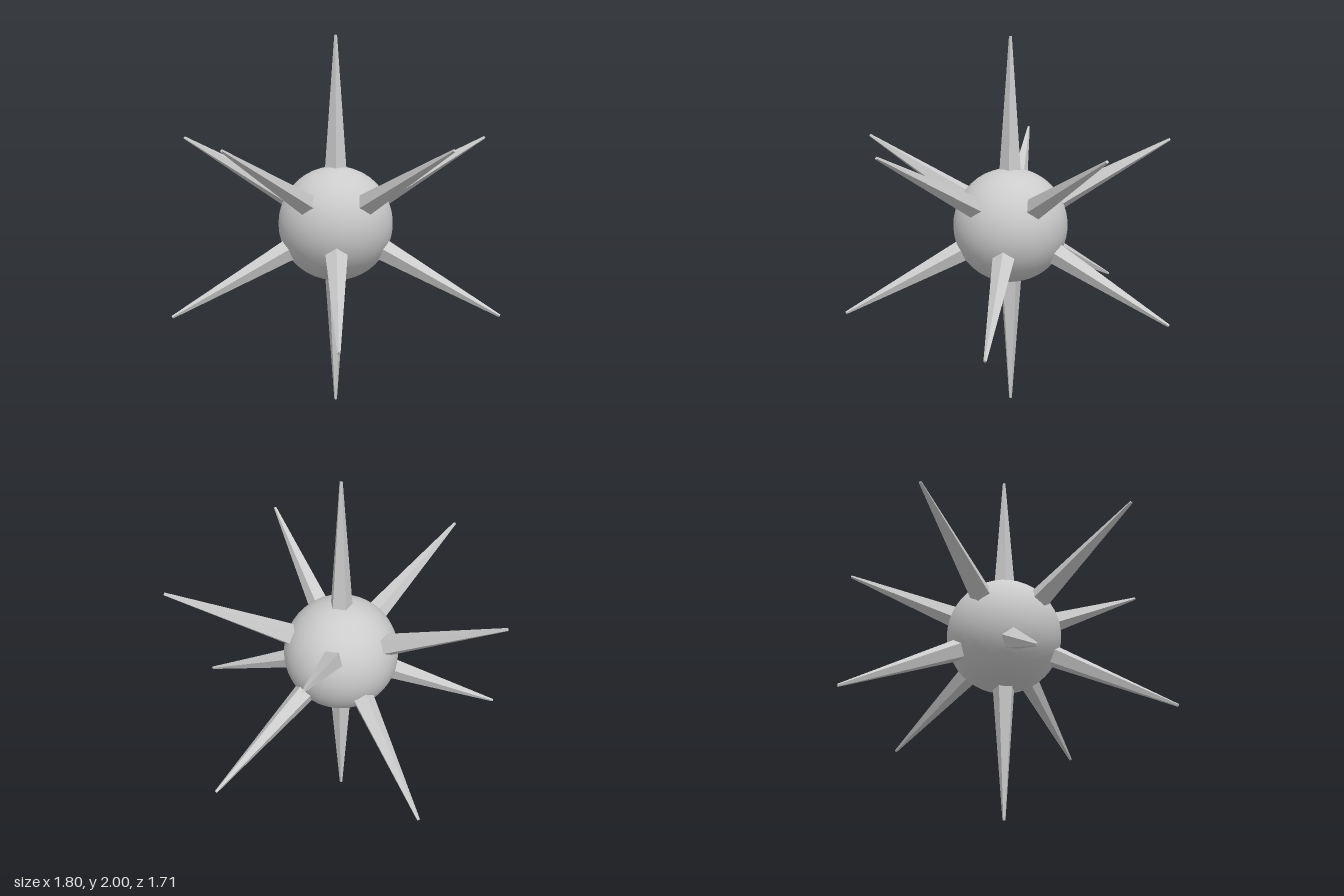
import * as THREE from 'three';

const CORE_RADIUS = 0.31;
const SPIKE_START = 0.29; // slightly sunk into the core
const SPIKE_END = 1.0;

export function createModel() {
  const group = new THREE.Group();
  group.name = 'spikedBall';
  const smooth = new THREE.MeshStandardMaterial({ color: 0xcccccc });
  const faceted = new THREE.MeshStandardMaterial({ color: 0xcccccc, flatShading: true });

  // Round core
  const core = new THREE.Mesh(new THREE.IcosahedronGeometry(CORE_RADIUS, 7), smooth);
  core.name = 'core';
  core.position.y = 1;
  group.add(core);

  // Five-sided tapered spike with a small blunt tip
  const spikeGeometry = new THREE.CylinderGeometry(0.008, 0.061, SPIKE_END - SPIKE_START, 5);
  spikeGeometry.translate(0, (SPIKE_START + SPIKE_END) / 2, 0);

  // Points a spike along dir, with one of its ridges turned towards ridge
  function addSpike(name, dir, ridge) {
    const y = dir.clone().normalize();
    const z = ridge.clone().addScaledVector(y, -ridge.dot(y)).normalize();
    const x = new THREE.Vector3().crossVectors(y, z);
    const spike = new THREE.Mesh(spikeGeometry, faceted);
    spike.name = name;
    spike.quaternion.setFromRotationMatrix(new THREE.Matrix4().makeBasis(x, y, z));
    spike.position.y = 1;
    group.add(spike);
  }

  // Opposite pairs: one vertical, five around in an icosahedral layout
  for (const s of [1, -1]) {
    const half = s > 0 ? 'upper' : 'lower';
    const up = new THREE.Vector3(0, s, 0);
    addSpike(half + 'PoleSpike', up, new THREE.Vector3(-s, 0, 0));
    for (let i = 0; i < 5; i++) {
      const a = (i * Math.PI * 2) / 5;
      const dir = new THREE.Vector3(2 * Math.cos(a), 1, 2 * Math.sin(a)).multiplyScalar(s);
      addSpike(half + 'RingSpike' + (i + 1), dir, up.clone().negate());
    }
  }
  return group;
}
